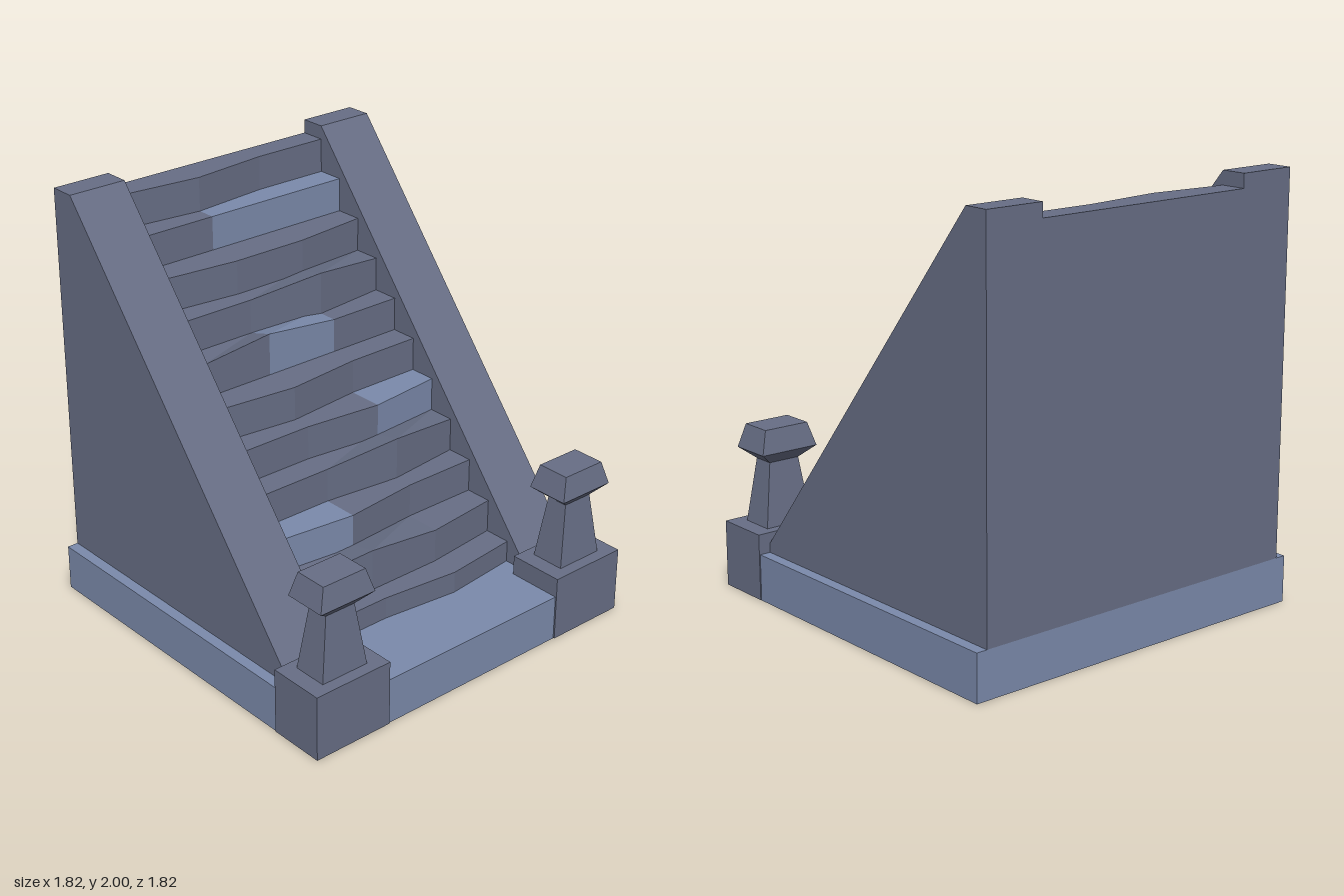
import * as THREE from 'three';

const stone = new THREE.MeshStandardMaterial({ color: 0x676e85, flatShading: true });
const paleStone = new THREE.MeshStandardMaterial({ color: 0x7b8aab, flatShading: true });

function add(parent, name, geometry, material = stone) {
  const mesh = new THREE.Mesh(geometry, material);
  mesh.name = name;
  parent.add(mesh);
  return mesh;
}

// Box given by its limits
function block(x0, x1, y0, y1, z0, z1) {
  return new THREE.BoxGeometry(x1 - x0, y1 - y0, z1 - z0)
    .translate((x0 + x1) / 2, (y0 + y1) / 2, (z0 + z1) / 2);
}

// Unit box whose corners are moved by rule(right, top, front) -> [x, y, z]
function shapedBox(rule) {
  const geometry = new THREE.BoxGeometry(1, 1, 1);
  const p = geometry.attributes.position;
  for (let i = 0; i < p.count; i++) {
    p.setXYZ(i, ...rule(p.getX(i) > 0, p.getY(i) > 0, p.getZ(i) > 0));
  }
  geometry.computeVertexNormals();
  return geometry;
}

// Rectangular frustum between two half sizes [x, z]
function frustum(y0, y1, lower, upper) {
  return shapedBox((right, top, front) => {
    const [hx, hz] = top ? upper : lower;
    return [right ? hx : -hx, top ? y1 : y0, front ? hz : -hz];
  });
}

const EDGES = [-0.565, -0.19, 0.19, 0.565];
const BASE_TOP = 0.22, BACK = -0.908, RISE = 0.161, RUN = 0.132;
const stepTop = i => 0.325 + RISE * i;
const stepFront = i => 0.535 - RUN * i;

// Irregular edges: points pushed forward, points raised, pale sections
const FORWARD = ['0010', '0110', '0100', '0010', '0010', '0100', '0000', '0010', '0110', '0000', '0100'];
const RAISED = { 1: '0100', 3: '0010', 6: '0100', 7: '0010' };
const PALE = { 2: [0], 4: [2], 6: [1], 9: [1, 2] };

function createStep(i) {
  const step = new THREE.Group();
  step.name = 'step' + (i + 1);
  const last = i === FORWARD.length - 1;
  const yBottom = i === 0 ? BASE_TOP : stepTop(i - 1);
  const zBack = last ? BACK : stepFront(i + 1);
  for (let c = 0; c < 3; c++) {
    const geometry = shapedBox((right, top, front) => {
      const k = c + (right ? 1 : 0);
      const push = 0.041 * Number(FORWARD[i][k]);
      const lift = front && RAISED[i] ? 0.04 * Number(RAISED[i][k]) : 0;
      return [EDGES[k], top ? stepTop(i) + lift : yBottom, front ? stepFront(i) + push : zBack];
    });
    add(step, 'stepSection', geometry, PALE[i]?.includes(c) ? paleStone : stone);
  }
  return step;
}

// Sloping side wall, extruded across its width
function createWall(side) {
  const profile = new THREE.Shape([
    [-0.64, BASE_TOP], [-BACK, BASE_TOP], [-BACK, 2], [0.785, 2], [-0.64, 0.26],
  ].map(([u, y]) => new THREE.Vector2(u, y)));
  const geometry = new THREE.ExtrudeGeometry(profile, { depth: 0.287, bevelEnabled: false });
  geometry.rotateY(Math.PI / 2).translate(side > 0 ? 0.565 : -0.852, 0, 0);
  return geometry;
}

// Plinth with a tapered post and a flared cap
function createPost(side) {
  const post = new THREE.Group();
  post.name = side > 0 ? 'leftPost' : 'rightPost';
  add(post, 'plinth', block(-0.202, 0.202, 0.002, 0.315, -0.137, 0.137));
  add(post, 'shaft', frustum(0.315, 0.615, [0.122, 0.084], [0.078, 0.053]));
  add(post, 'capFlare', frustum(0.615, 0.67, [0.078, 0.053], [0.147, 0.104]));
  add(post, 'cap', frustum(0.67, 0.78, [0.147, 0.104], [0.114, 0.08]));
  post.children.slice(1).forEach(m => { m.position.z = -0.004; });
  post.position.set(side * 0.708, 0, 0.775);
  return post;
}

export function createModel() {
  const model = new THREE.Group();
  model.name = 'staircase';

  add(model, 'base', block(-0.905, 0.905, 0, BASE_TOP, BACK, 0.905), paleStone);

  const steps = new THREE.Group();
  steps.name = 'steps';
  for (let i = 0; i < FORWARD.length; i++) steps.add(createStep(i));
  model.add(steps);

  // Closes the back below the top step
  add(model, 'backPanel', block(-0.565, 0.565, BASE_TOP, stepTop(9), BACK, BACK + 0.04));

  for (const side of [-1, 1]) {
    add(model, side > 0 ? 'leftWall' : 'rightWall', createWall(side));
    model.add(createPost(side));
  }
  return model;
}
